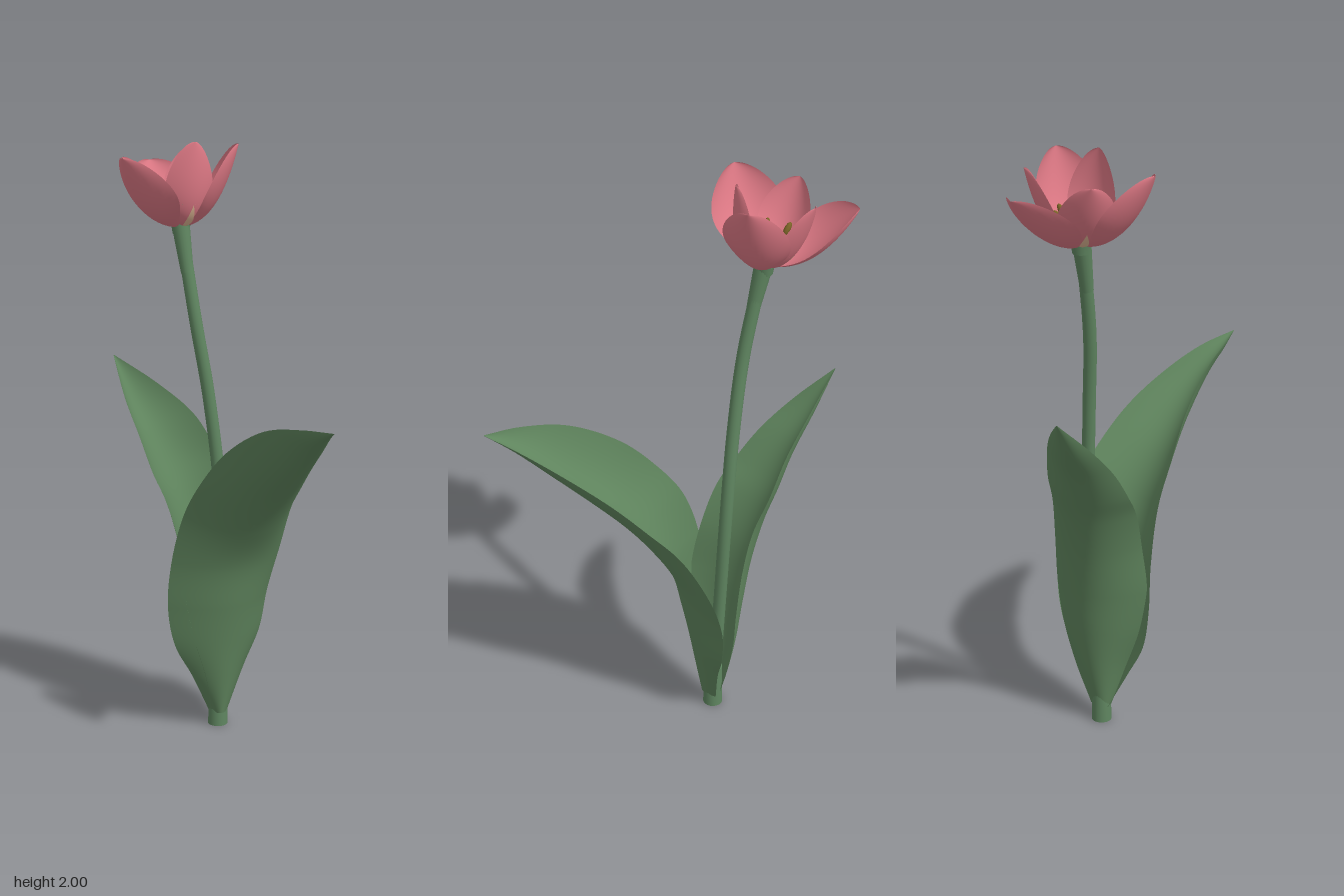
import * as THREE from 'three';
import { ParametricGeometry } from 'three/addons/geometries/ParametricGeometry.js';

const paint = (name, color, side = THREE.FrontSide) => {
  const m = new THREE.MeshStandardMaterial({ color, side });
  m.name = name;
  return m;
};
const V = (x, y, z) => new THREE.Vector3(x, y, z);
const UP = V(0, 1, 0);

export function createModel() {
  const model = new THREE.Group();
  const leafGreen = paint('leaf green', 0x5f845d, THREE.DoubleSide);
  const stemGreen = paint('stem green', 0x5f8560);
  const pink = paint('petal pink', 0xdc7884, THREE.DoubleSide);
  const cream = paint('petal base cream', 0xe0b795, THREE.DoubleSide);
  const olive = paint('anther olive', 0x7a6428);
  const pale = paint('filament green', 0x98a077);

  const add = (parent, name, geometry, material) => {
    const mesh = new THREE.Mesh(geometry, material);
    mesh.name = name;
    parent.add(mesh);
    return mesh;
  };

  // Stem with a thicker foot and a neck flaring into the flower
  const stemPath = new THREE.CatmullRomCurve3([
    V(-0.03, 0.01, -0.13), V(-0.03, 0.4, -0.15), V(-0.03, 0.8, -0.17), V(-0.068, 1.15, -0.172),
    V(-0.112, 1.4, -0.176), V(-0.148, 1.6, -0.195), V(-0.17, 1.73, -0.212),
  ]);
  add(model, 'stem', new THREE.TubeGeometry(stemPath, 48, 0.0215, 16), stemGreen);
  add(model, 'stemFoot', new THREE.CylinderGeometry(0.031, 0.034, 0.16, 20), stemGreen).position.set(-0.03, 0.08, -0.131);
  const neck = add(model, 'stemNeck', new THREE.CylinderGeometry(0.03, 0.021, 0.16, 18), stemGreen);
  neck.position.set(-0.157, 1.645, -0.2);
  neck.quaternion.setFromUnitVectors(UP, V(-0.022, 0.13, -0.017).normalize());

  // Leaves: each row holds one edge, the midrib and the other edge
  const leaf = (name, rows) => {
    const rails = [0, 3, 6].map((k) => new THREE.CatmullRomCurve3(rows.map((r) => V(r[k], r[k + 1], r[k + 2]))));
    const a = V(), m = V(), b = V();
    const surface = (s, t, out) => {
      const u = s * 2 - 1, v = t * 0.998;
      rails[0].getPoint(v, a);
      rails[1].getPoint(v, m);
      rails[2].getPoint(v, b);
      out.copy(m).multiplyScalar(1 - u * u);
      out.addScaledVector(a, (u * u - u) / 2).addScaledVector(b, (u * u + u) / 2);
    };
    add(model, name, new ParametricGeometry(surface, 20, 60), leafGreen);
  };
  leaf('frontLeaf', [
    [-0.06, 0.05, -0.12, -0.01, 0.05, -0.098, 0, 0.05, -0.16],
    [-0.105, 0.2, -0.055, 0.01, 0.2, -0.08, 0.05, 0.2, -0.195],
    [-0.155, 0.32, -0.015, 0.025, 0.32, -0.065, 0.095, 0.32, -0.235],
    [-0.175, 0.46, 0, 0.045, 0.46, -0.045, 0.12, 0.46, -0.25],
    [-0.16, 0.62, 0.01, 0.075, 0.62, -0.02, 0.165, 0.62, -0.23],
    [-0.11, 0.8, 0.045, 0.125, 0.75, 0.035, 0.22, 0.8, -0.15],
    [-0.04, 0.93, 0.105, 0.18, 0.87, 0.11, 0.275, 0.91, -0.06],
    [0.06, 1.06, 0.18, 0.25, 0.98, 0.2, 0.325, 1.01, 0.045],
    [0.2, 1.165, 0.29, 0.33, 1.09, 0.3, 0.375, 1.1, 0.18],
    [0.33, 1.2, 0.385, 0.385, 1.16, 0.38, 0.415, 1.17, 0.32],
    [0.438, 1.21, 0.446, 0.438, 1.21, 0.446, 0.438, 1.21, 0.446],
  ]);
  leaf('backLeaf', [
    [-0.045, 0.06, -0.1, -0.058, 0.06, -0.135, -0.02, 0.06, -0.165],
    [-0.055, 0.2, -0.05, -0.073, 0.2, -0.15, 0.012, 0.2, -0.21],
    [-0.088, 0.36, -0.003, -0.09, 0.36, -0.165, 0.038, 0.36, -0.247],
    [-0.112, 0.5, 0.009, -0.105, 0.5, -0.18, 0.05, 0.5, -0.262],
    [-0.14, 0.68, -0.015, -0.135, 0.66, -0.2, 0.03, 0.68, -0.272],
    [-0.19, 0.82, -0.045, -0.18, 0.8, -0.225, -0.01, 0.82, -0.285],
    [-0.24, 0.9, -0.08, -0.228, 0.9, -0.247, -0.07, 0.93, -0.31],
    [-0.3, 1.01, -0.14, -0.285, 1, -0.27, -0.15, 1.05, -0.325],
    [-0.37, 1.12, -0.225, -0.36, 1.11, -0.305, -0.28, 1.15, -0.338],
    [-0.44, 1.245, -0.345, -0.44, 1.245, -0.345, -0.44, 1.245, -0.345],
  ]);

  // Flower
  const flower = new THREE.Group();
  flower.name = 'flower';
  flower.position.set(-0.17, 1.715, -0.212);
  model.add(flower);

  // Petal: a spine bending from the centre to its tip, cupped towards the axis.
  // With a flame, a cream tongue runs up the middle between two pink sides.
  const petal = (name, degrees, belly, tip, halfWidth, cup, flame) => {
    const angle = THREE.MathUtils.degToRad(degrees), c = Math.cos(angle), s = Math.sin(angle);
    const spine = new THREE.QuadraticBezierCurve(
      new THREE.Vector2(0.012, 0), new THREE.Vector2(...belly), new THREE.Vector2(...tip));
    const part = (from, to, left, right) => (p, q, out) => {
      const t = from + (to - from) * Math.sin((q * Math.PI) / 2);
      const u = THREE.MathUtils.lerp(left(t), right(t), p);
      const point = spine.getPoint(t), dir = spine.getTangent(t);
      const w = halfWidth * Math.pow(Math.sin(Math.PI * Math.pow(t, 1.5)), 0.53);
      const lift = cup * w * u * u;
      const r = point.x - dir.y * lift, side = w * u;
      out.set(r * c - side * s, point.y + dir.x * lift, r * s + side * c);
    };
    const piece = (label, material, ...range) => add(flower, label, new ParametricGeometry(part(...range), 14, 24), material);
    const edge = (t) => 0.5 * (1 - t / flame);
    const one = () => 1, minusOne = () => -1;
    if (flame) {
      piece(name + 'Flame', cream, 0.004, flame, (t) => -edge(t), edge);
      piece(name + 'LowerSide', pink, 0.004, flame, minusOne, (t) => -edge(t));
      piece(name + 'LowerSide', pink, 0.004, flame, edge, one);
    }
    piece(name, pink, flame || 0.004, 0.999, minusOne, one);
  };
  // angle, belly [radius, height], tip [radius, height], half width, cup
  [
    [-124, [0.15, 0], [0.285, 0.19], 0.122, 0.45],
    [127, [0.16, 0.005], [0.245, 0.24], 0.122, 0.48],
    [-12, [0.13, 0.02], [0.19, 0.27], 0.106, 0.48],
  ].forEach((p, i) => petal('outerPetal' + (i + 1), ...p, 0));
  [
    [182, [0.13, 0.02], [0.2, 0.222], 0.087, 0.48],
    [-88, [0.12, 0.02], [0.17, 0.248], 0.082, 0.48],
    [48, [0.12, 0.02], [0.095, 0.285], 0.09, 0.48],
  ].forEach((p, i) => petal('innerPetal' + (i + 1), ...p, 0.5));

  // Receptacle under the petals
  add(flower, 'receptacle', new THREE.CylinderGeometry(0.032, 0.027, 0.03, 18), stemGreen).position.y = -0.008;

  // Pistil with a three-lobed stigma
  const heart = new THREE.Group();
  heart.name = 'pistil';
  heart.rotation.set(-0.1, 0, 0.1);
  flower.add(heart);
  add(heart, 'style', new THREE.CylinderGeometry(0.01, 0.013, 0.09, 12), stemGreen).position.y = 0.05;
  for (let i = 0; i < 3; i++) {
    const a = (i * Math.PI * 2) / 3;
    const lobe = add(heart, 'stigmaLobe', new THREE.SphereGeometry(0.008, 10, 8), stemGreen);
    lobe.position.set(Math.cos(a) * 0.008, 0.096, Math.sin(a) * 0.008);
  }

  // Six stamens leaning outwards
  for (let i = 0; i < 6; i++) {
    const a = (i * Math.PI) / 3 - 0.68, c = Math.cos(a), s = Math.sin(a);
    const end = V(c * 0.058 - 0.015, 0.09, s * 0.058 - 0.01);
    const path = new THREE.QuadraticBezierCurve3(V(c * 0.015, 0.01, s * 0.015), V(c * 0.042, 0.04, s * 0.042), end);
    add(flower, 'filament', new THREE.TubeGeometry(path, 8, 0.003, 6), pale);
    const lean = V(c * 0.55 - 0.12, 1, s * 0.55 - 0.08).normalize();
    const anther = add(flower, 'anther', new THREE.SphereGeometry(0.01, 10, 8), olive);
    anther.scale.set(1, 2.3, 1);
    anther.position.copy(end).addScaledVector(lean, 0.016);
    anther.quaternion.setFromUnitVectors(UP, lean);
  }
  return model;
}
